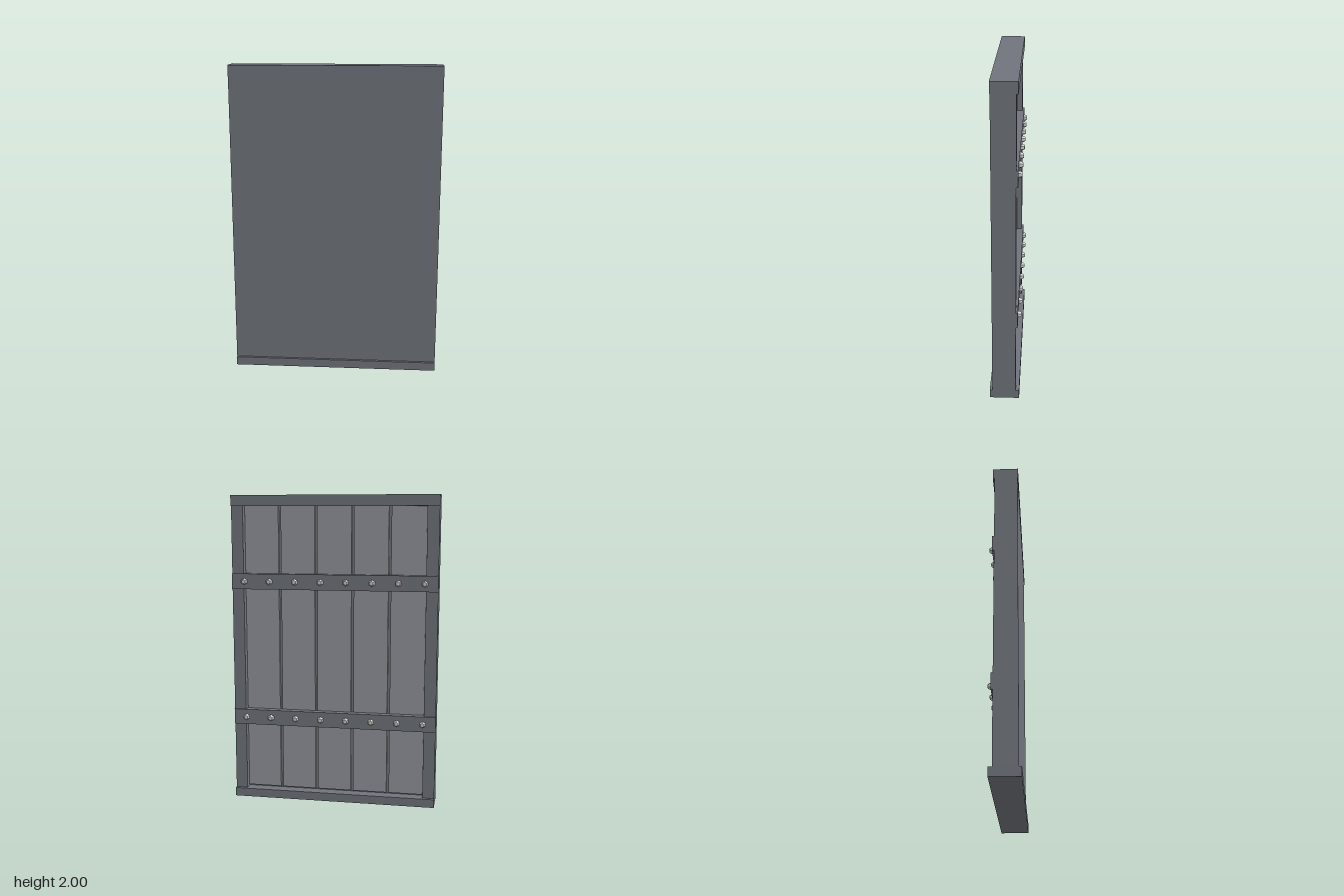
import * as THREE from 'three';

const frameMat = new THREE.MeshStandardMaterial({ color: 0x70747c, flatShading: true });
const plankMat = new THREE.MeshStandardMaterial({ color: 0x92969c, flatShading: true });
const boltMat = new THREE.MeshStandardMaterial({ color: 0xcccccc, flatShading: true });

const W = 1.333;

// Box given by its min and max along each axis
function slab(name, [x0, x1], [y0, y1], [z0, z1], mat = frameMat) {
  const mesh = new THREE.Mesh(new THREE.BoxGeometry(x1 - x0, y1 - y0, z1 - z0), mat);
  mesh.position.set((x0 + x1) / 2, (y0 + y1) / 2, (z0 + z1) / 2);
  mesh.name = name;
  return mesh;
}

export function createModel() {
  const group = new THREE.Group();
  group.name = 'plankPanel';
  const full = [-W / 2, W / 2];

  // Frame: sill, header, flat front sheet and two side stiles
  group.add(slab('sill', full, [0, 0.055], [-0.086, 0.0965]));
  group.add(slab('header', full, [1.93, 2], [-0.075, 0.083]));
  group.add(slab('frontSheet', [-0.59, 0.59], [0.055, 1.93], [-0.01, 0.08]));
  group.add(slab('leftStile', [0.59, W / 2], [0.055, 1.93], [-0.064, 0.08]));
  group.add(slab('rightStile', [-W / 2, -0.59], [0.055, 1.93], [-0.064, 0.08]));

  // Five recessed planks with narrow grooves between them
  const pitch = 1.19 / 5;
  for (let i = 0; i < 5; i++) {
    const x = (i - 2) * pitch;
    const half = pitch / 2 - 0.008;
    group.add(slab('plank', [x - half, x + half], [0.065, 1.93], [-0.027, -0.01], plankMat));
  }

  // Two cross straps, each with a row of eight faceted bolts
  const boltGeo = new THREE.CylinderGeometry(0.013, 0.021, 0.012, 6);
  const shankGeo = new THREE.CylinderGeometry(0.021, 0.021, 0.0105, 6);
  for (const y of [0.55, 1.45]) {
    group.add(slab('strap', full, [y - 0.05, y + 0.05], [-0.075, -0.02]));
    for (let i = 0; i < 8; i++) {
      const bolt = new THREE.Group();
      bolt.name = 'bolt';
      const base = new THREE.Mesh(shankGeo, boltMat);
      base.name = 'boltBase';
      base.position.y = 0.00425;
      const cap = new THREE.Mesh(boltGeo, boltMat);
      cap.name = 'boltCap';
      cap.position.y = 0.0155;
      bolt.add(base, cap);
      bolt.rotation.x = -Math.PI / 2;
      bolt.position.set((i - 3.5) / 6, y, -0.075);
      group.add(bolt);
    }
  }
  return group;
}
